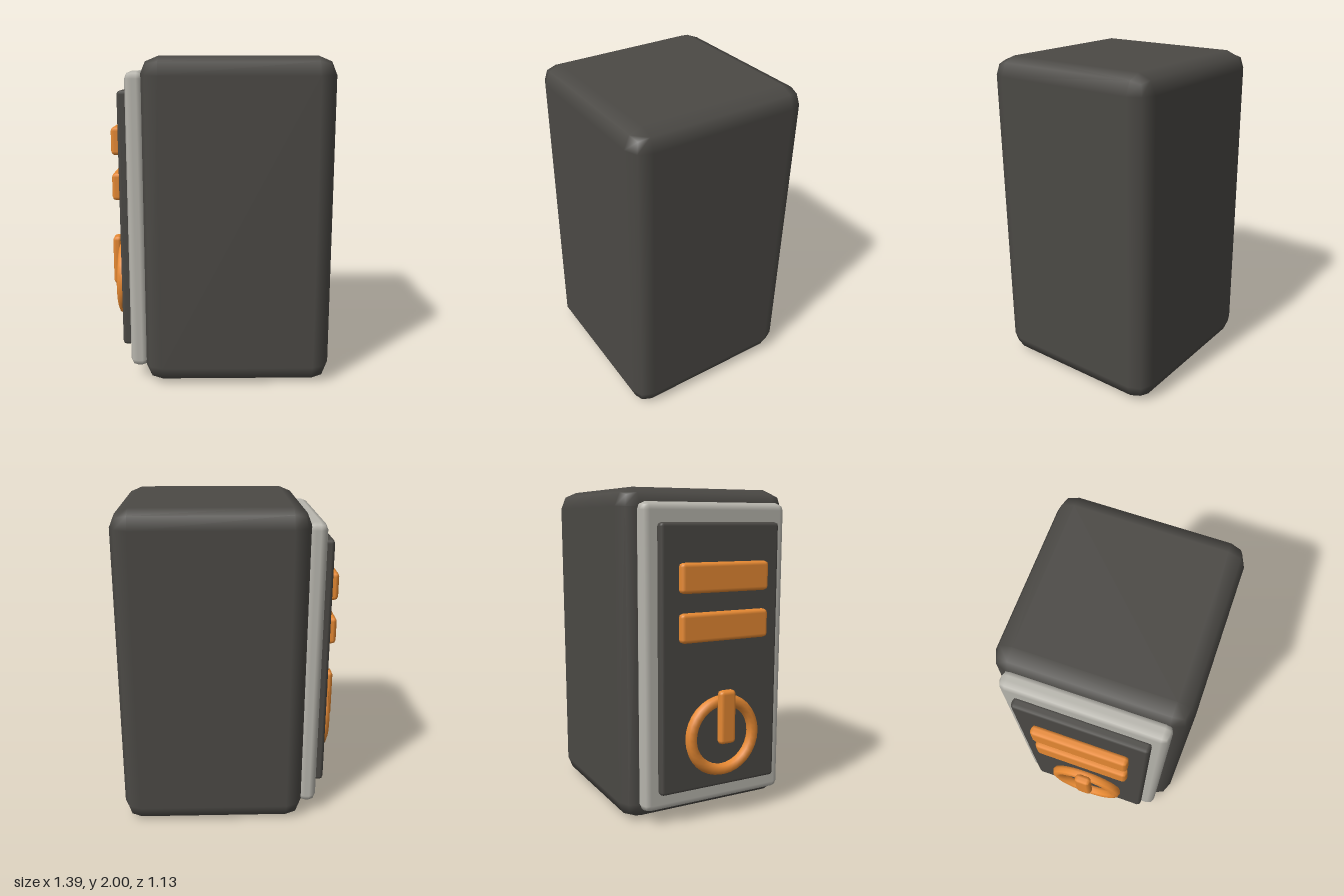
import * as THREE from 'three';
import { RoundedBoxGeometry } from 'three/addons/geometries/RoundedBoxGeometry.js';

const dark = new THREE.MeshStandardMaterial({ color: 0x4b4945 });
const pale = new THREE.MeshStandardMaterial({ color: 0xb8b6ae });
const orange = new THREE.MeshStandardMaterial({ color: 0xe88a33 });

export function createModel() {
  const group = new THREE.Group();

  // Softly bevelled block given by its x and y ranges, centred on z = 0
  function block(name, [x0, x1], [y0, y1], depth, bevel, material) {
    const geometry = new RoundedBoxGeometry(x1 - x0, y1 - y0, depth, 1, bevel);
    const mesh = new THREE.Mesh(geometry, material);
    mesh.name = name;
    mesh.position.set((x0 + x1) / 2, (y0 + y1) / 2, 0);
    group.add(mesh);
  }

  // Main casing, with the stacked plates on its -x side
  block('body', [-0.455, 0.695], [0, 2], 1.134, 0.11, dark);
  block('frame', [-0.547, -0.43], [0.085, 1.915], 0.97, 0.045, pale);
  block('panel', [-0.602, -0.535], [0.2, 1.8], 0.8, 0.022, dark);

  // Two indicator bars
  block('upperBar', [-0.658, -0.595], [1.4, 1.575], 0.59, 0.024, orange);
  block('lowerBar', [-0.658, -0.595], [1.115, 1.288], 0.59, 0.024, orange);

  // Power button: ring and raised stem
  const ring = new THREE.Mesh(new THREE.TorusGeometry(0.216, 0.036, 8, 32), orange);
  ring.name = 'buttonRing';
  ring.rotation.y = Math.PI / 2;
  ring.position.set(-0.622, 0.533, 0);
  group.add(ring);
  block('buttonStem', [-0.697, -0.637], [0.492, 0.822], 0.11, 0.025, orange);

  return group;
}
